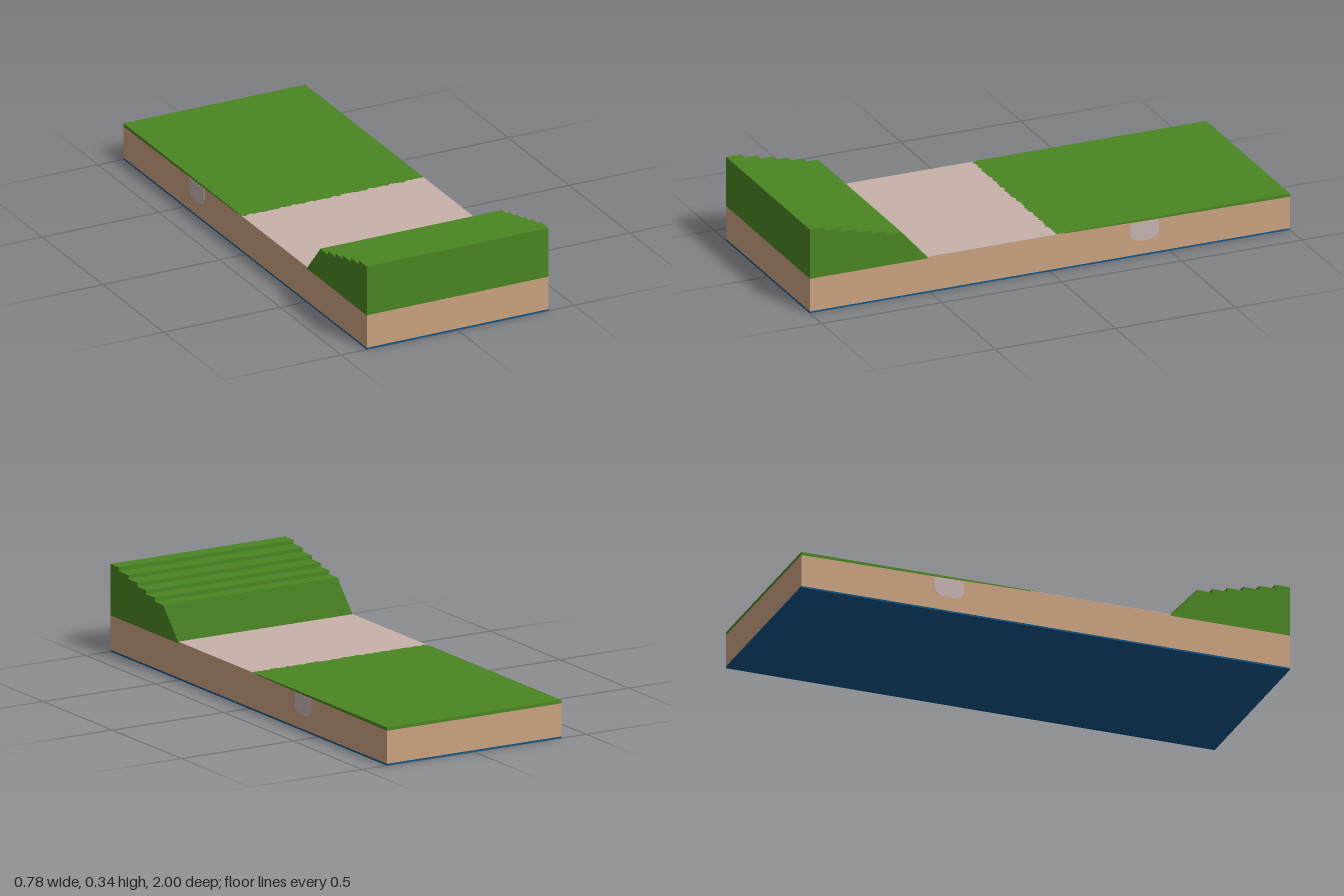
import * as THREE from 'three';

const HALF = 0.39; // half width of the slab

const material = (name, color) => {
  const m = new THREE.MeshStandardMaterial({ color });
  m.name = name;
  return m;
};

// Extrude a side profile of [z, y] points across the width
function across(points, half = HALF) {
  const shape = new THREE.Shape(points.map(([z, y]) => new THREE.Vector2(z, y)));
  const geo = new THREE.ExtrudeGeometry(shape, { depth: half * 2, bevelEnabled: false });
  geo.translate(0, 0, -half);
  geo.rotateY(-Math.PI / 2);
  return geo;
}

export function createModel() {
  const group = new THREE.Group();
  const grass = material('grass green', 0x4a8522);
  const earth = material('earth tan', 0xcaa27f);
  const path = material('pale path', 0xc7b2aa);
  const pipe = material('pipe grey', 0xc6b4b2);
  const water = material('base blue', 0x0f5688);

  const add = (name, geo, mat) => {
    const mesh = new THREE.Mesh(geo, mat);
    mesh.name = name;
    group.add(mesh);
  };

  // Thin blue base sheet
  add('baseSheet', across([[-1, 0], [1, 0], [1, 0.007], [-1, 0.007]]), water);

  // Earth slab, falling slightly towards the back
  add('earthSlab', across([
    [-1, 0.007], [1, 0.007], [1, 0.142], [0.51, 0.142],
    [0.51, 0.147], [-0.03, 0.147], [-0.45, 0.141], [-1, 0.137],
  ]), earth);

  // Pale path between the bank and the lawn
  add('path', across([[-0.06, 0.147], [0.51, 0.147], [0.51, 0.149], [-0.06, 0.149]]), path);

  // Bank: fine risers up the back slope, then broad terraces to the front
  const bank = [[1, 0.142], [1, 0.345]];
  const edges = [0.938, 0.872, 0.806, 0.742, 0.68, 0.617];
  edges.forEach((z, i) => {
    const y = 0.345 - i * 0.0154;
    bank.push([z, y]);
    if (i < 5) bank.push([z, y - 0.0154]);
  });
  const fine = 20, top = 0.345 - 5 * 0.0154;
  for (let i = 0; i < fine; i++) {
    const y = top + (0.149 - top) * (i + 1) / fine;
    bank.push([0.617 - 0.107 * i / fine, y], [0.617 - 0.107 * (i + 1) / fine, y]);
  }
  bank.push([0.51, 0.142]);
  add('terracedBank', across(bank.reverse()), grass);

  // Lawn body, thickening towards the back
  add('lawnBody', across([
    [-1, 0.137], [-0.45, 0.141], [-0.06, 0.1465], [-0.06, 0.149], [-1, 0.149],
  ]), grass);

  // Lawn surface with a ragged front edge
  let seed = 7;
  const random = () => (seed = (seed * 16807) % 2147483647) / 2147483647;
  const lawn = new THREE.Shape();
  lawn.moveTo(-HALF, 1);
  const steps = 60;
  for (let i = 0; i <= steps; i++) {
    lawn.lineTo(-HALF + 2 * HALF * i / steps, 0.027 - (random() - 0.5) * 0.014);
  }
  lawn.lineTo(HALF, 1);
  const lawnGeo = new THREE.ExtrudeGeometry(lawn, { depth: 0.0015, bevelEnabled: false });
  lawnGeo.rotateX(-Math.PI / 2);
  lawnGeo.translate(0, 0.1485, 0);
  add('lawnSurface', lawnGeo, grass);

  // Pipe running through the slab, showing at both sides
  const ring = [[-0.335, 0.139]];
  for (let i = 0; i <= 16; i++) {
    const a = -Math.PI * i / 16;
    const c = Math.cos(a), s = Math.sin(a);
    ring.push([-0.395 + 0.06 * Math.sign(c) * Math.abs(c) ** 0.8, 0.1 - 0.038 * Math.abs(s) ** 0.8]);
  }
  ring.push([-0.455, 0.139]);
  add('pipe', across(ring, HALF + 0.001), pipe);

  return group;
}
